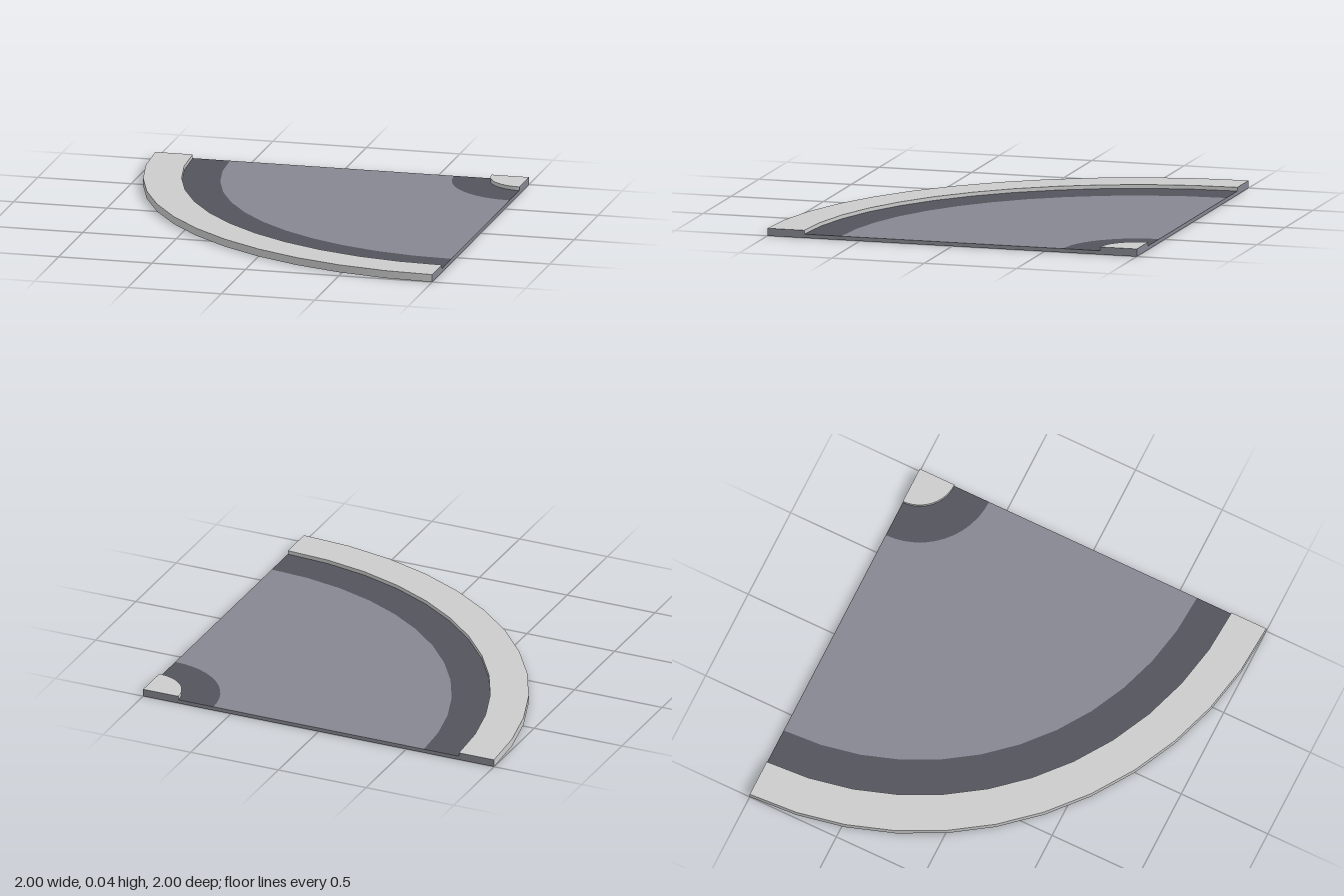
import * as THREE from 'three';

const SEGMENTS = 12;
const KERB_H = 0.04;
const ROAD_H = 0.02;

const material = (color) =>
  new THREE.MeshStandardMaterial({ color });
const kerbGrey = material(0xcccccc);
const asphalt = material(0x868691);
const darkAsphalt = material(0x53535d);

// Quarter-turn sweep of one straight profile edge, smooth around the curve
function sweep(name, r0, y0, r1, y1, mat) {
  const points = [new THREE.Vector2(r0, y0), new THREE.Vector2(r1, y1)];
  const mesh = new THREE.Mesh(
    new THREE.LatheGeometry(points, SEGMENTS, -Math.PI / 2, Math.PI / 2), mat);
  mesh.name = name;
  return mesh;
}

// Flat cut faces of one band at both straight sides of the tile
function cutFaces(name, r0, r1, h) {
  const pair = new THREE.Group();
  pair.name = name;
  const mid = (r0 + r1) / 2;
  const plane = new THREE.PlaneGeometry(r1 - r0, h);
  const side = new THREE.Mesh(plane, asphalt);
  side.rotation.y = Math.PI / 2;
  side.position.set(0, h / 2, mid);
  const back = new THREE.Mesh(plane, asphalt);
  back.rotation.y = Math.PI;
  back.position.set(-mid, h / 2, 0);
  pair.add(side, back);
  return pair;
}

export function createModel() {
  const model = new THREE.Group();
  model.name = 'roadCurve';

  // Concentric bands, from the inner corner outwards
  const bands = [
    ['innerKerb', 0, 0.2, KERB_H, kerbGrey],
    ['innerShoulder', 0.2, 0.4, ROAD_H, darkAsphalt],
    ['roadSurface', 0.4, 1.6, ROAD_H, asphalt],
    ['outerShoulder', 1.6, 1.8, ROAD_H, darkAsphalt],
    ['outerKerb', 1.8, 2, KERB_H, kerbGrey],
  ];
  for (const [name, r0, r1, h, mat] of bands) {
    model.add(sweep(name + 'Top', r1, h, r0, h, mat));
    model.add(cutFaces(name + 'Ends', r0, r1, h));
  }

  // Curved kerb walls and the underside
  model.add(sweep('innerKerbWall', 0.2, ROAD_H, 0.2, KERB_H, kerbGrey));
  model.add(sweep('outerKerbInsideWall', 1.8, KERB_H, 1.8, ROAD_H, kerbGrey));
  model.add(sweep('outerKerbOutsideWall', 2, 0, 2, KERB_H, kerbGrey));
  model.add(sweep('underside', 0, 0, 2, 0, kerbGrey));

  // The curve turns about the back left corner
  for (const part of model.children) part.position.add(new THREE.Vector3(1, 0, -1));
  return model;
}
